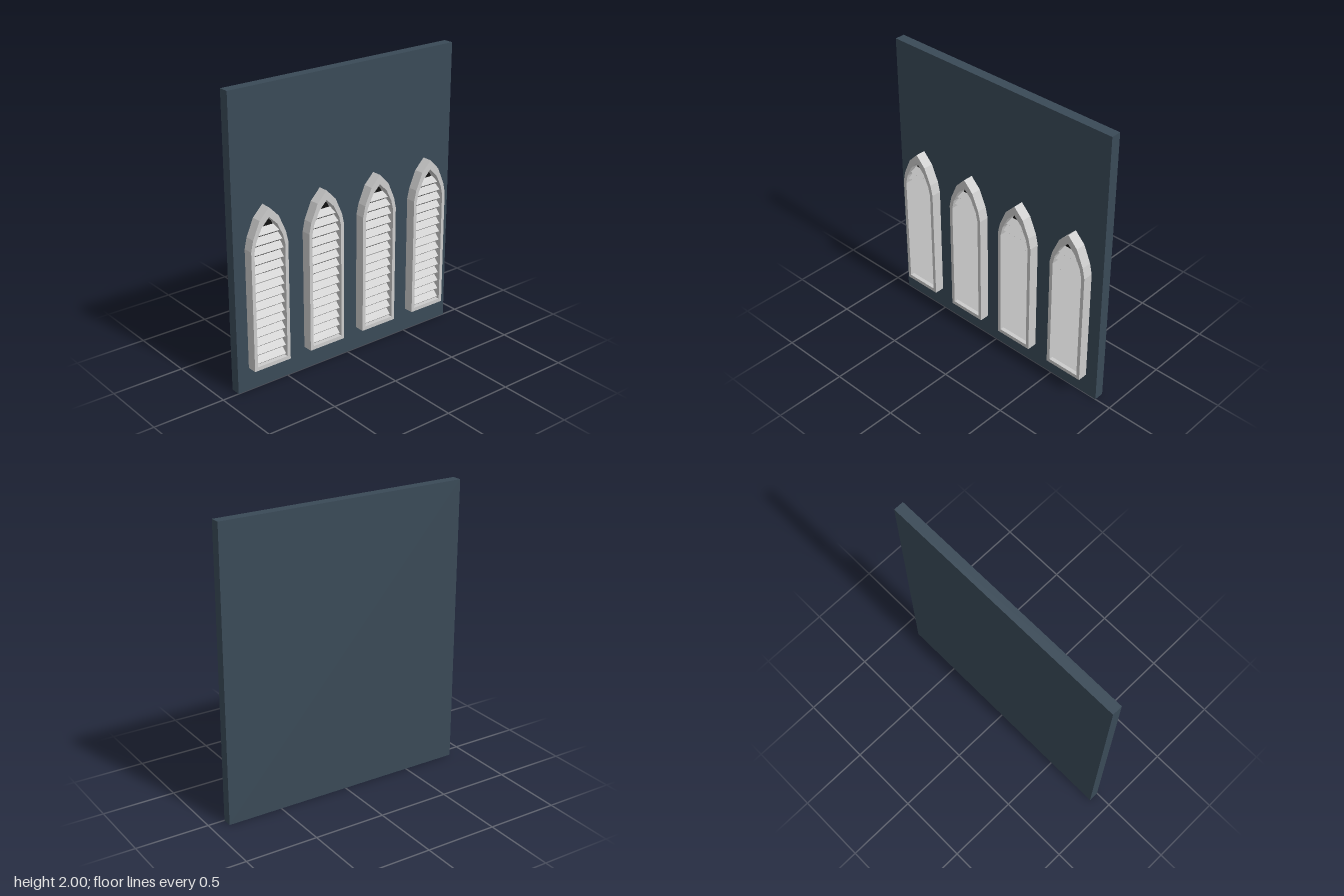
import * as THREE from 'three';

const grey = new THREE.MeshStandardMaterial({ color: 0xcccccc, flatShading: true });
const slate = new THREE.MeshStandardMaterial({ color: 0x3a4a57 });
const black = new THREE.MeshStandardMaterial({ color: 0x111111 });

// Right half of the pointed arch, from sill to apex
const OUTER = [[0.139, 0.16], [0.139, 0.985], [0.122, 1.06], [0.071, 1.175], [0, 1.248]];
const INNER = [[0.115, 0.186], [0.115, 0.975], [0.1, 1.04], [0.058, 1.125], [0, 1.183]];

function archPoints(half) {
  const left = half.slice(0, -1).reverse().map(([x, y]) => [-x, y]);
  return [...half, ...left].map(([x, y]) => new THREE.Vector2(x, y));
}

// Half width of the opening at a given height
function openingHalfWidth(y) {
  for (let i = 1; i < INNER.length; i++) {
    const [x0, y0] = INNER[i - 1], [x1, y1] = INNER[i];
    if (y <= y1) return x0 + (x1 - x0) * Math.max(0, (y - y0) / (y1 - y0));
  }
  return 0;
}

function add(parent, name, geometry, material) {
  const mesh = new THREE.Mesh(geometry, material);
  mesh.name = name;
  parent.add(mesh);
  return mesh;
}

// Louvre slat: a tilted board, its ends cut to follow the opening
function slatGeometry(y) {
  const g = new THREE.BoxGeometry(2, 0.012, 0.052);
  g.rotateX(Math.PI / 4);
  g.translate(0, y, 0.03);
  const p = g.attributes.position;
  for (let i = 0; i < p.count; i++) {
    p.setX(i, Math.sign(p.getX(i)) * (openingHalfWidth(p.getY(i)) + 0.002));
  }
  g.computeVertexNormals();
  return g;
}

function createWindow() {
  const win = new THREE.Group();
  win.name = 'louvredWindow';

  // Frame with the arched opening cut through
  const frame = new THREE.Shape(archPoints(OUTER));
  frame.holes.push(new THREE.Path(archPoints(INNER)));
  add(win, 'windowFrame', new THREE.ExtrudeGeometry(frame, { depth: 0.07, bevelEnabled: false }), grey);

  // Dark panel behind the slats
  const panel = add(win, 'darkBacking', new THREE.ShapeGeometry(new THREE.Shape(archPoints(INNER))), black);
  panel.position.z = 0.003;

  for (let i = 0; i < 15; i++) add(win, 'slat', slatGeometry(0.213 + i * 0.0622), grey);
  return win;
}

export function createModel() {
  const model = new THREE.Group();
  model.name = 'louvredWall';

  // Wall slab
  const wall = add(model, 'wall', new THREE.BoxGeometry(1.766, 2, 0.07), slate);
  wall.position.set(0, 1, -0.035);

  // Row of four windows
  for (const x of [-0.66, -0.22, 0.216, 0.655]) {
    const win = createWindow();
    win.position.x = x;
    model.add(win);
  }
  return model;
}
